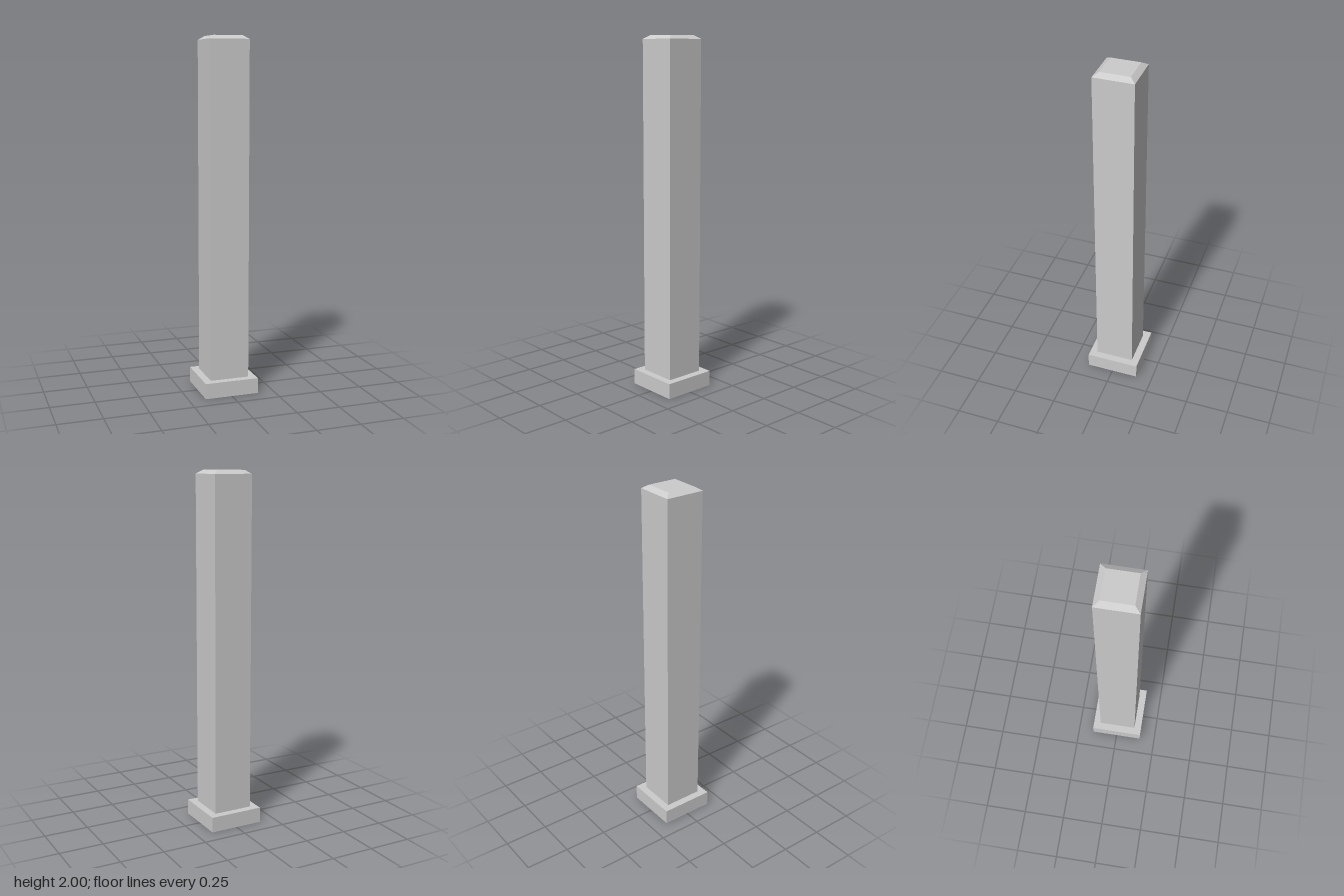
import * as THREE from 'three';

const material = new THREE.MeshStandardMaterial({
  color: 0xcccccc, flatShading: true, side: THREE.DoubleSide,
});

// Square shell through [half width, height] pairs, listed from bottom to top
function squareShell(name, profile) {
  const points = profile.map(([half, y]) => new THREE.Vector2(half * Math.SQRT2, y));
  const geometry = new THREE.LatheGeometry(points, 4, Math.PI / 4).toNonIndexed();
  geometry.computeVertexNormals();
  const mesh = new THREE.Mesh(geometry, material);
  mesh.name = name;
  return mesh;
}

export function createModel() {
  const BASE = 0.155, SHAFT = 0.112, TOP = 0.082;
  const BASE_Y = 0.088, SHAFT_Y = 1.98, TOP_Y = 2;

  const post = new THREE.Group();
  post.name = 'post';

  // Plinth, open underneath, with a ledge around the hollow shaft
  post.add(squareShell('base', [[BASE, 0], [BASE, BASE_Y], [SHAFT, BASE_Y]]));
  post.add(squareShell('shaft', [[SHAFT, BASE_Y], [SHAFT, SHAFT_Y]]));
  post.add(squareShell('bevel', [[SHAFT, SHAFT_Y], [TOP, TOP_Y]]));

  // Flat top
  const cap = new THREE.Mesh(new THREE.PlaneGeometry(TOP * 2, TOP * 2).rotateX(-Math.PI / 2), material);
  cap.name = 'cap';
  cap.position.y = TOP_Y;
  post.add(cap);

  return post;
}
